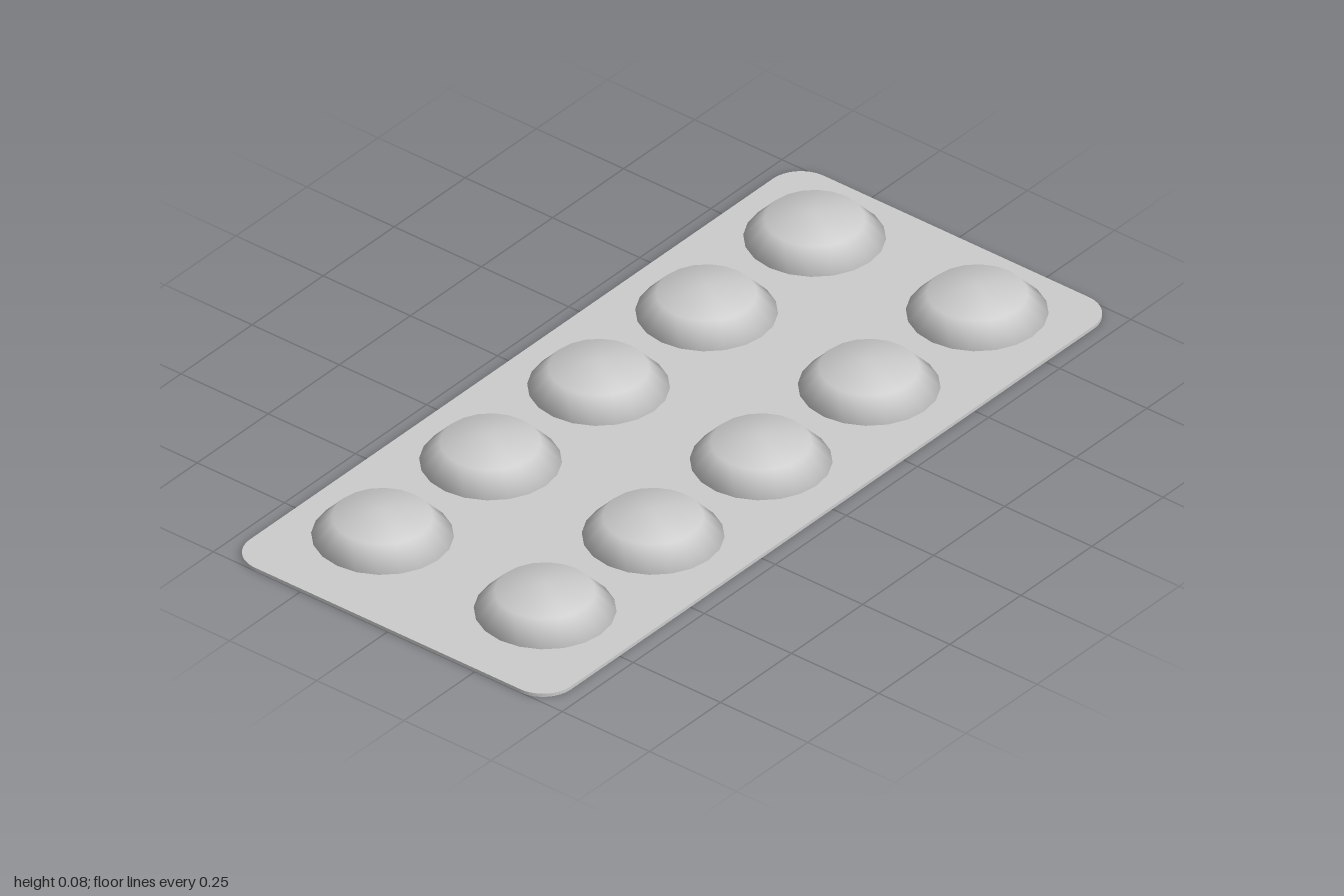
import * as THREE from 'three';

const W = 1, D = 0.46, R = 0.08, THICK = 0.0085;

export function createModel() {
  const group = new THREE.Group();
  const material = new THREE.MeshStandardMaterial({ color: 0xcccccc });

  // Thin backing sheet with rounded corners
  const outline = new THREE.Shape();
  outline.absarc(W - R, D - R, R, 0, Math.PI / 2);
  outline.absarc(-W + R, D - R, R, Math.PI / 2, Math.PI);
  outline.absarc(-W + R, -D + R, R, Math.PI, Math.PI * 1.5);
  outline.absarc(W - R, -D + R, R, Math.PI * 1.5, Math.PI * 2);
  outline.closePath();
  const sheetGeometry = new THREE.ExtrudeGeometry(outline, {
    depth: THICK, bevelEnabled: false, curveSegments: 6,
  });
  sheetGeometry.rotateX(-Math.PI / 2);
  const sheet = new THREE.Mesh(sheetGeometry, material);
  sheet.name = 'backingSheet';
  group.add(sheet);

  // Flattened domes in two rows of five
  const domeGeometry = new THREE.SphereGeometry(0.159, 20, 2, 0, Math.PI * 2, 0, Math.PI / 2);
  domeGeometry.scale(1, 0.443, 1);
  const blisters = new THREE.Group();
  blisters.name = 'blisters';
  for (const z of [-0.243, 0.223]) {
    for (let i = 0; i < 5; i++) {
      const dome = new THREE.Mesh(domeGeometry, material);
      dome.name = 'blister';
      dome.position.set(-0.72 + i * 0.38, THICK, z);
      blisters.add(dome);
    }
  }
  group.add(blisters);
  return group;
}
